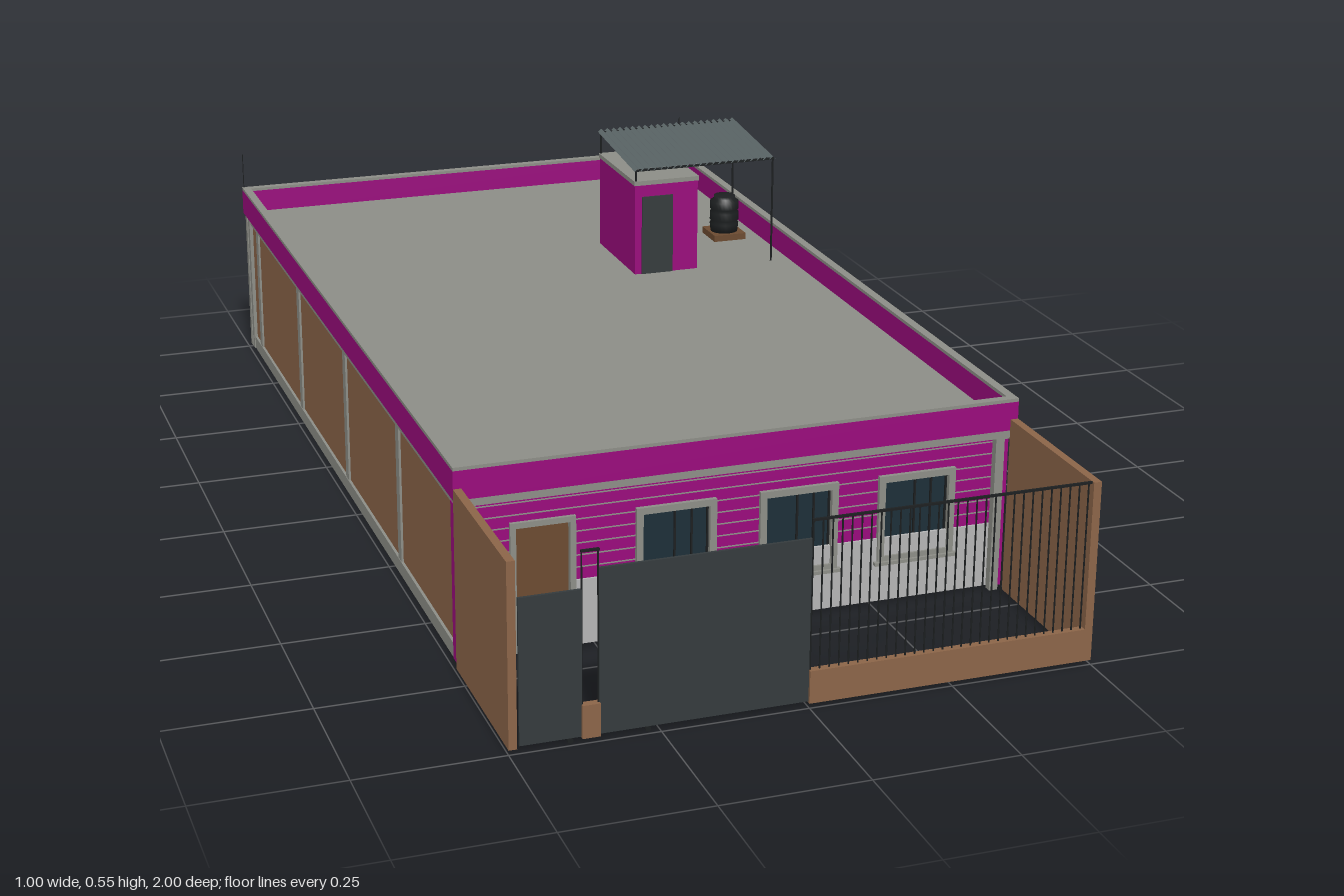
import * as THREE from 'three';

const mat = (color, extra = {}) => new THREE.MeshStandardMaterial({ color, ...extra });
const M = {
  purple: mat(0x990a7c), brick: mat(0x8b6448), concrete: mat(0x8c8d86), base: mat(0xb4b4b4),
  dark: mat(0x343a3c), steel: mat(0x1c1f20), glass: mat(0x1c2e38), wood: mat(0x6b4a30),
  tin: mat(0x5c6668, { side: THREE.DoubleSide, flatShading: true }),
};

export function createModel() {
  const root = new THREE.Group();
  root.name = 'house';

  const add = (name, geo, material, parent = root) => {
    const m = new THREE.Mesh(geo, material);
    m.name = name;
    parent.add(m);
    return m;
  };
  // Box given by its min and max on each axis
  const box = (name, material, x0, x1, y0, y1, z0, z1, parent = root) => {
    const m = add(name, new THREE.BoxGeometry(x1 - x0, y1 - y0, z1 - z0), material, parent);
    m.position.set((x0 + x1) / 2, (y0 + y1) / 2, (z0 + z1) / 2);
    return m;
  };
  const rod = (name, x, y0, y1, z, r = 0.0015, parent = root) => {
    const m = add(name, new THREE.CylinderGeometry(r, r, y1 - y0, 6), M.steel, parent);
    m.position.set(x, (y0 + y1) / 2, z);
    return m;
  };
  const group = (name) => {
    const g = new THREE.Group();
    g.name = name;
    root.add(g);
    return g;
  };

  // Roof slab and parapet with a concrete coping
  box('roofSlab', M.concrete, -0.49, 0.49, 0.291, 0.31, -0.99, 0.69);
  const ring = (name, material, y0, y1, out, inn) => {
    const g = group(name);
    for (const s of [-1, 1]) {
      const xs = [s * (0.5 + out), s * (0.486 - inn)].sort((a, b) => a - b);
      box(name + 'Side', material, xs[0], xs[1], y0, y1, -1, 0.7, g);
    }
    box(name + 'Front', material, -0.49, 0.49, y0, y1, 0.686 - inn, 0.7 + out, g);
    box(name + 'Back', material, -0.49, 0.49, y0, y1, -1, -0.986 + inn, g);
  };
  ring('parapet', M.purple, 0.305, 0.356, 0, 0);
  ring('coping', M.concrete, 0.356, 0.362, 0, 0.002);

  // Side walls: brick panels, beams and columns
  for (const s of [-1, 1]) {
    const g = group(s > 0 ? 'leftWall' : 'rightWall');
    const slab = (name, material, a, b, y0, y1, z0, z1) =>
      box(name, material, Math.min(s * a, s * b), Math.max(s * a, s * b), y0, y1, z0, z1, g);
    slab('brickPanel', M.brick, 0.476, 0.488, 0.008, 0.292, -0.98, 0.66);
    slab('footBeam', M.concrete, 0.475, 0.493, 0.008, 0.034, -0.99, 0.66);
    slab('topBeam', M.concrete, 0.475, 0.493, 0.288, 0.305, -0.99, 0.695);
    for (const z of [0.3, -0.1, -0.5, -0.9])
      slab('column', M.concrete, 0.474, 0.492, 0.008, 0.292, z - 0.011, z + 0.011);
    slab('cornerColumn', M.concrete, 0.472, 0.495, 0.008, 0.3, -0.978, -0.962);
    slab('backColumn', M.concrete, 0.476, 0.496, 0.008, 0.3, -0.998, -0.982);
    slab('frontColumn', M.concrete, 0.462, 0.478, 0.008, 0.3, 0.684, 0.698);
    slab('purplePier', M.purple, 0.476, 0.494, 0.008, 0.29, 0.66, 0.68);
    slab('yardWall', M.brick, 0.486, 0.5, 0.008, 0.325, 0.7, 1);
    rod('cornerRod', s * 0.497, 0.36, 0.435, -0.997, 0.001, g);
  }

  // Back wall
  box('backBrick', M.brick, -0.48, 0.48, 0.008, 0.292, -0.988, -0.976);
  box('backFootBeam', M.concrete, -0.485, 0.485, 0.008, 0.034, -0.993, -0.974);
  box('backTopBeam', M.concrete, -0.485, 0.485, 0.288, 0.305, -0.993, -0.974);
  for (const x of [0.1, -0.3])
    box('backWallColumn', M.concrete, x - 0.011, x + 0.011, 0.008, 0.292, -0.992, -0.973);

  // Front wall pierced for a door and three windows
  const rect = (T, x0, x1, y0, y1) => new T([[x0, y0], [x1, y0], [x1, y1], [x0, y1]]
    .map(([x, y]) => new THREE.Vector2(x, y)));
  const wall = rect(THREE.Shape, -0.478, 0.478, 0.008, 0.295);
  const door = [-0.395, -0.29];
  const windows = [-0.11, 0.11, 0.327];
  wall.holes.push(rect(THREE.Path, door[0], door[1], 0.012, 0.235));
  windows.forEach((x) => wall.holes.push(rect(THREE.Path, x - 0.062, x + 0.062, 0.088, 0.232)));
  add('frontWall', new THREE.ExtrudeGeometry(wall, { depth: 0.013, bevelEnabled: false }), M.purple)
    .position.z = 0.658;
  box('frontBeam', M.concrete, -0.485, 0.485, 0.291, 0.305, 0.655, 0.698);
  box('plinth', M.base, -0.477, door[0], 0.008, 0.125, 0.67, 0.675);
  box('plinth', M.base, door[1], 0.477, 0.008, 0.125, 0.67, 0.675);

  // Horizontal joints on the painted wall, broken at the openings
  const gaps = [door, ...windows.map((x) => [x - 0.068, x + 0.068])];
  for (let y = 0.147; y < 0.285; y += 0.0215) {
    let x = -0.477;
    const edges = y < 0.238 ? [...gaps, [0.477, 0]] : [[0.477, 0]];
    for (const [a, b] of edges) {
      box('wallJoint', M.concrete, x, a, y - 0.001, y + 0.001, 0.671, 0.6725);
      x = b;
    }
  }

  // Frame of four strips around an opening
  const frame = (g, material, x0, x1, y0, y1, t, z0, z1) => {
    box('frameSide', material, x0, x0 + t, y0, y1, z0, z1, g);
    box('frameSide', material, x1 - t, x1, y0, y1, z0, z1, g);
    box('frameTop', material, x0, x1, y1 - t, y1, z0, z1, g);
    if (y0 > 0.05) box('frameBottom', material, x0, x1, y0, y0 + t, z0, z1, g);
  };
  const doorway = group('door');
  box('doorLeaf', M.wood, door[0], door[1], 0.01, 0.235, 0.66, 0.666, doorway);
  frame(doorway, M.concrete, door[0] - 0.004, door[1] + 0.004, 0.008, 0.242, 0.01, 0.655, 0.678);
  windows.forEach((x) => {
    const g = group('window');
    box('pane', M.glass, x - 0.062, x + 0.062, 0.088, 0.232, 0.661, 0.666, g);
    frame(g, M.concrete, x - 0.071, x + 0.071, 0.08, 0.24, 0.012, 0.656, 0.679);
    frame(g, M.steel, x - 0.059, x + 0.059, 0.092, 0.228, 0.003, 0.666, 0.67);
    for (const dx of [-0.002, 0.028]) box('mullion', M.steel, x + dx, x + dx + 0.003, 0.09, 0.23, 0.666, 0.67, g);
    box('sill', M.concrete, x - 0.077, x + 0.077, 0.077, 0.083, 0.67, 0.684, g);
  });

  // Street front: low wall, railing and gates
  const fence = group('fence');
  box('lowWall', M.brick, 0, 0.488, 0.008, 0.065, 0.986, 1, fence);
  box('lowWallShort', M.brick, -0.38, -0.35, 0.008, 0.065, 0.986, 1, fence);
  box('topRail', M.steel, 0, 0.486, 0.321, 0.325, 0.991, 0.995, fence);
  box('topRailShort', M.steel, -0.38, -0.35, 0.321, 0.325, 0.991, 0.995, fence);
  for (let i = 0; i <= 29; i++) rod('railingBar', 0.002 + i * 0.0165, 0.065, 0.323, 0.993, 0.0014, fence);
  for (const x of [-0.379, -0.352]) rod('railingBar', x, 0.065, 0.323, 0.993, 0.0015, fence);
  box('carGate', M.dark, -0.351, 0, 0.01, 0.292, 0.99, 0.995, fence);
  box('footGate', M.dark, -0.481, -0.379, 0.01, 0.26, 0.99, 0.995, fence);
  for (const x of [-0.398, -0.27]) {
    const w = add('gateWheel', new THREE.CylinderGeometry(0.005, 0.005, 0.004, 10), M.steel, fence);
    w.rotation.x = Math.PI / 2;
    w.position.set(x, 0.005, 0.992);
  }

  // Stair house on the roof
  const stair = group('stairHouse');
  box('stairBlock', M.purple, 0.155, 0.287, 0.305, 0.495, -0.53, -0.308, stair);
  box('stairRoof', M.concrete, 0.153, 0.289, 0.494, 0.503, -0.532, -0.306, stair);
  box('stairDoor', M.dark, 0.169, 0.234, 0.31, 0.47, -0.309, -0.305, stair);

  // Corrugated canopy sloping to the front, on thin posts
  const tin = new THREE.PlaneGeometry(0.3, 0.232, 44, 1).rotateX(-Math.PI / 2);
  const p = tin.attributes.position;
  for (let i = 0; i < p.count; i++)
    p.setY(i, 0.539 - p.getZ(i) * 0.1 + ((i % 45) % 2 ? 0.003 : -0.003));
  tin.computeVertexNormals();
  const canopy = group('canopy');
  add('corrugatedSheet', tin, M.tin, canopy).position.set(0.302, 0, -0.419);
  for (const [z, top] of [[-0.308, 0.527], [-0.53, 0.549]]) {
    rod('tallPost', 0.447, 0.31, top, z, 0.002, canopy);
    rod('shortPost', 0.157, 0.5, top, z, 0.002, canopy);
    box('purlin', M.steel, 0.155, 0.449, top - 0.004, top, z - 0.002, z + 0.002, canopy);
  }

  // Ribbed water tank on a plinth
  const tank = group('waterTank');
  box('tankPlinth', M.wood, 0.383, 0.452, 0.309, 0.323, -0.535, -0.462, tank);
  const profile = [[0, 0.323], [0.028, 0.323], [0.03, 0.34], [0.027, 0.344], [0.03, 0.348], [0.03, 0.364],
    [0.027, 0.368], [0.03, 0.372], [0.03, 0.387], [0.022, 0.393], [0.022, 0.399], [0, 0.4]]
    .map(([r, y]) => new THREE.Vector2(r, y));
  add('tankBody', new THREE.LatheGeometry(profile, 24), M.steel, tank).position.set(0.417, 0, -0.498);

  return root;
}
